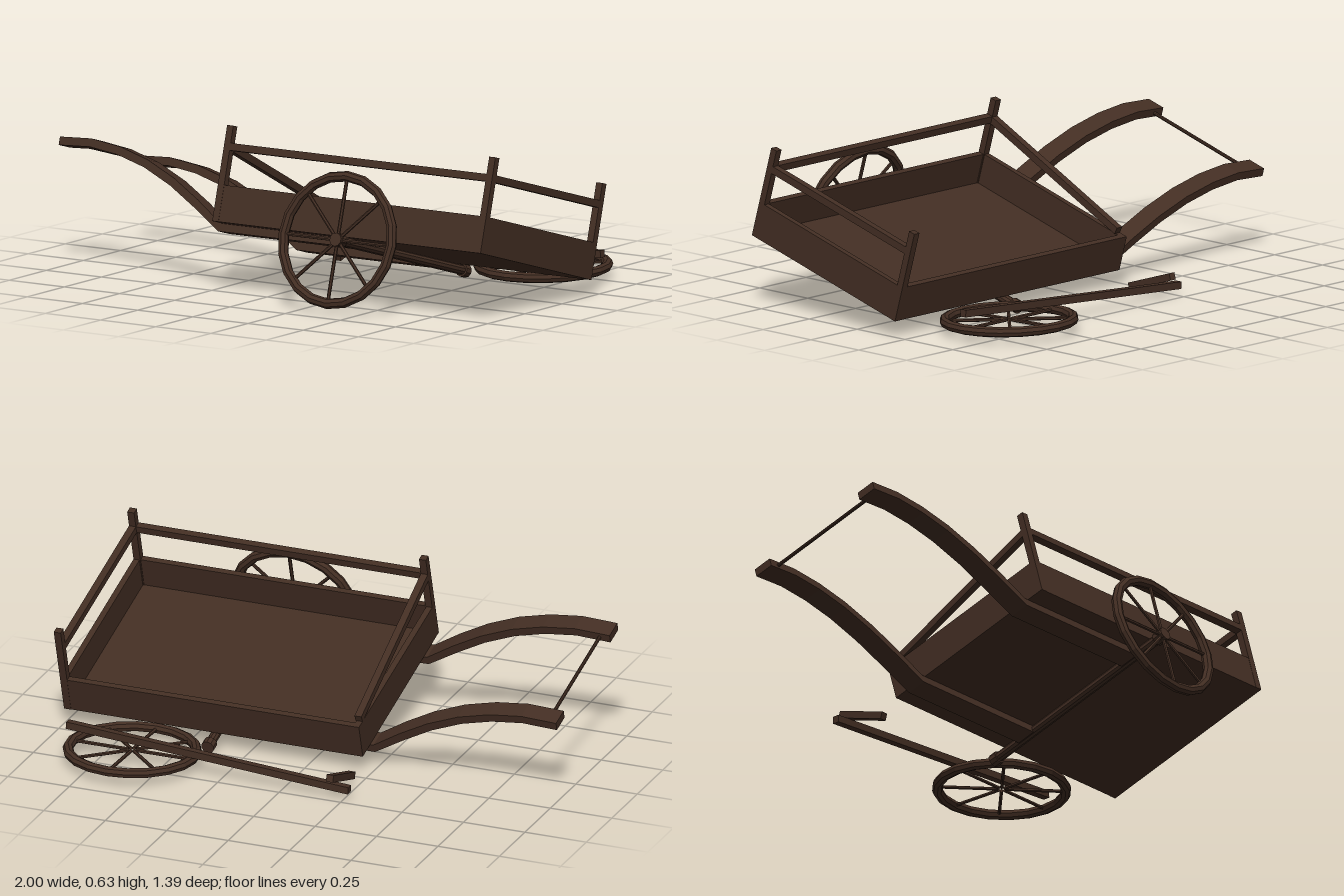
import * as THREE from 'three';

const TILT = 0.28;      // lean of the broken cart about its long axis
const LEFT = -0.215, RIGHT = 1.0, HALF = 0.388, WALL = 0.14;

export function createModel() {
  const wood = new THREE.MeshStandardMaterial({ color: 0x432e23, flatShading: true });
  wood.name = 'dark wood';

  const add = (parent, name, geometry, x = 0, y = 0, z = 0) => {
    const mesh = new THREE.Mesh(geometry, wood);
    mesh.name = name;
    mesh.position.set(x, y, z);
    parent.add(mesh);
    return mesh;
  };
  const box = (parent, name, w, h, d, x, y, z) =>
    add(parent, name, new THREE.BoxGeometry(w, h, d), x, y, z);

  // square beam between two points
  const beam = (parent, name, from, to, size) => {
    const a = new THREE.Vector3(...from), b = new THREE.Vector3(...to);
    const along = b.clone().sub(a).normalize();
    const middle = a.clone().add(b).multiplyScalar(0.5);
    const mesh = box(parent, name, size, size, a.distanceTo(b), middle.x, middle.y, middle.z);
    const side = new THREE.Vector3(0, 1, 0).cross(along).normalize();
    const up = along.clone().cross(side);
    mesh.quaternion.setFromRotationMatrix(new THREE.Matrix4().makeBasis(side, up, along));
  };

  // spoked wheel facing local z
  const makeWheel = name => {
    const wheel = new THREE.Group();
    wheel.name = name;
    add(wheel, 'rim', new THREE.TorusGeometry(0.243, 0.02, 8, 20));
    for (let i = 0; i < 8; i++) {
      const a = i * Math.PI / 4;
      const spoke = add(wheel, 'spoke', new THREE.CylinderGeometry(0.007, 0.007, 0.22, 6),
        Math.cos(a) * 0.125, Math.sin(a) * 0.125, 0);
      spoke.rotation.z = a - Math.PI / 2;
    }
    return wheel;
  };

  const model = new THREE.Group();
  model.name = 'brokenCart';

  // tilted cart body, origin at the centre of the bed's underside
  const cart = new THREE.Group();
  cart.name = 'cart';
  cart.position.set(0, 0.174, 0.176);
  cart.rotation.x = -TILT;
  model.add(cart);

  // bed
  const midX = (LEFT + RIGHT) / 2, length = RIGHT - LEFT, t = 0.024;
  box(cart, 'floor', length, 0.02, HALF * 2, midX, 0.01, 0);
  for (const s of [-1, 1]) {
    box(cart, 'sideBoard', length, WALL, t, midX, WALL / 2, s * (HALF - t / 2));
    box(cart, 'endBoard', t, WALL, HALF * 2 - 2 * t, midX + s * (length - t) / 2, WALL / 2, 0);
  }

  // three standing posts, two whole rails and one fallen at an end
  const postL = LEFT + 0.014, postR = RIGHT - 0.014, postZ = HALF - 0.013, railY = 0.286;
  for (const [x, z] of [[postL, postZ], [postR, postZ], [postR, -postZ]]) {
    box(cart, 'post', 0.028, 0.366, 0.028, x, 0.183, z);
  }
  beam(cart, 'sideRail', [postL, railY, postZ], [postR, railY, postZ], 0.028);
  beam(cart, 'endRail', [postR, railY, -postZ], [postR, railY, postZ], 0.028);
  beam(cart, 'fallenEndRail', [postL, railY, postZ], [postL, 0.152, -0.353], 0.028);

  // curved pulling shafts, straight under the bed
  const path = [[0.38, -0.015], [-0.23, -0.015], [-0.35, 0.063], [-0.47, 0.133], [-0.6, 0.19],
    [-0.73, 0.226], [-0.86, 0.243], [-1, 0.236]].map(p => new THREE.Vector2(...p));
  const offset = d => path.map((p, i) => {
    const dir = path[Math.min(i + 1, path.length - 1)].clone()
      .sub(path[Math.max(i - 1, 0)]).normalize();
    return i === 0 || i === path.length - 1
      ? new THREE.Vector2(p.x, p.y + d)
      : new THREE.Vector2(p.x + dir.y * d, p.y - dir.x * d);
  });
  const outline = new THREE.Shape([...offset(0.016), ...offset(-0.016).reverse()]);
  const shaftGeometry = new THREE.ExtrudeGeometry(outline, { depth: 0.079, bevelEnabled: false });
  shaftGeometry.translate(0, 0, -0.0395);
  for (const s of [-1, 1]) add(cart, 'shaft', shaftGeometry, 0, 0, s * 0.274);
  add(cart, 'handleBar', new THREE.CylinderGeometry(0.007, 0.007, 0.5, 8), -0.957, 0.236, 0)
    .rotation.x = Math.PI / 2;

  // axle with one wheel still mounted
  const axleX = 0.391, axleY = -0.018, wheelZ = 0.443;
  const rod = (name, radius, from, to) => {
    add(cart, name, new THREE.CylinderGeometry(radius, radius, to - from, 10),
      axleX, axleY, (from + to) / 2).rotation.x = Math.PI / 2;
  };
  rod('axle', 0.019, -0.45, wheelZ);
  rod('axleEnd', 0.026, -0.457, -0.425);
  rod('hub', 0.026, wheelZ - 0.03, wheelZ + 0.016);
  const mounted = makeWheel('mountedWheel');
  mounted.position.set(axleX, axleY, wheelZ);
  cart.add(mounted);

  // loose wheel lying on the ground
  const loose = makeWheel('looseWheel');
  loose.position.set(0.625, 0.051, -0.432);
  loose.rotation.x = -Math.PI / 2 + 0.03;
  model.add(loose);

  // broken off rail and post
  beam(model, 'brokenRail', [-0.268, 0.042, -0.456], [0.885, 0.118, -0.443], 0.028);
  beam(model, 'brokenPost', [-0.201, 0.02, -0.272], [-0.201, 0.09, -0.488], 0.028);

  return model;
}
